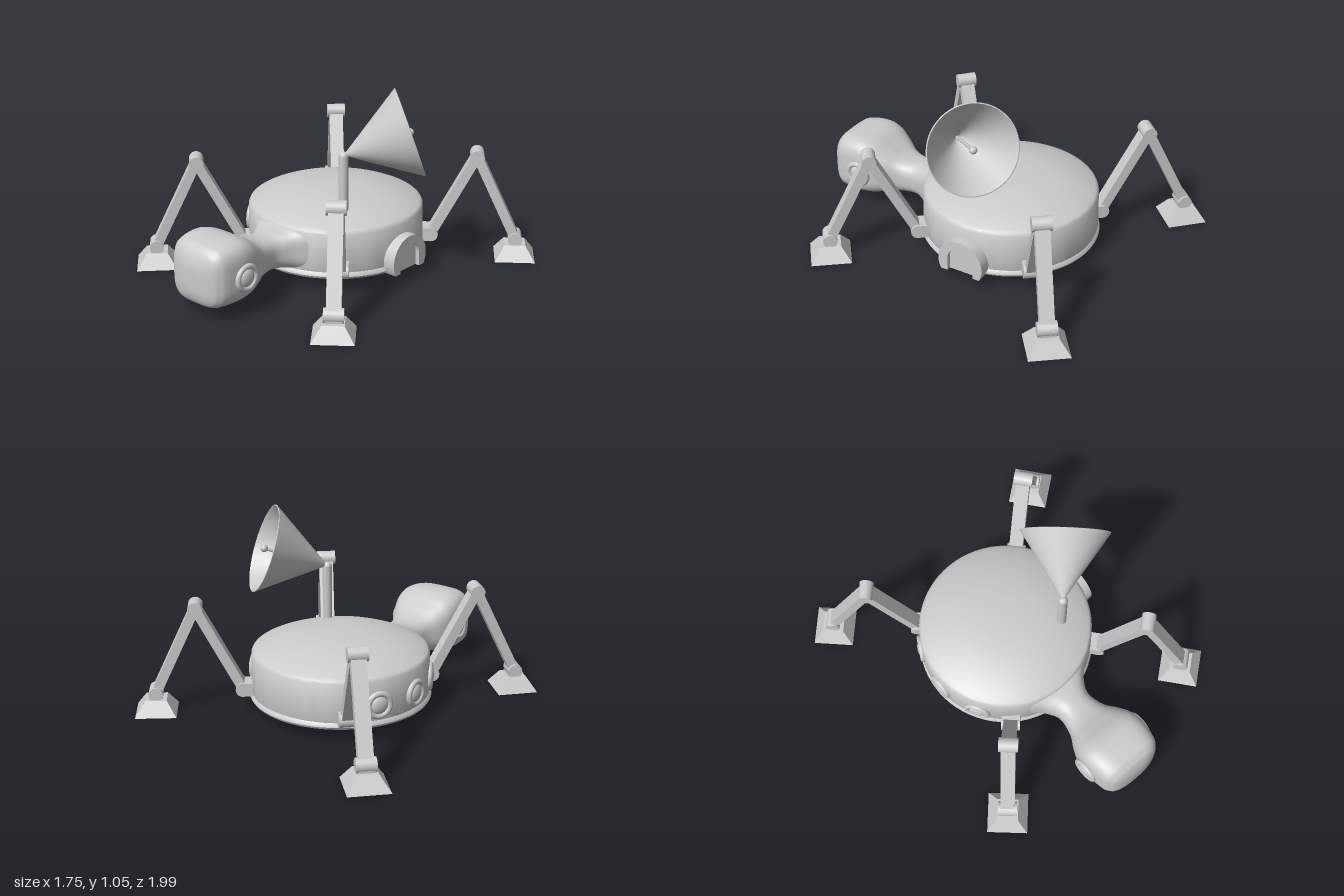
import * as THREE from 'three';
import { toCreasedNormals } from 'three/addons/utils/BufferGeometryUtils.js';

const grey = new THREE.MeshStandardMaterial({ color: 0xcccccc });
const greyDouble = new THREE.MeshStandardMaterial({ color: 0xcccccc, side: THREE.DoubleSide });
const CX = -0.037, CZ = -0.113; // hull centre

function add(parent, name, geometry, x = 0, y = 0, z = 0, material = grey) {
  const mesh = new THREE.Mesh(geometry, material);
  mesh.name = name;
  mesh.position.set(x, y, z);
  parent.add(mesh);
  return mesh;
}

// Round hull with a bottom lip and a shallow domed roof
function hull() {
  const roof = new THREE.SplineCurve([
    [0.483, 0.315], [0.465, 0.337], [0.375, 0.375], [0.26, 0.405], [0.14, 0.421], [0, 0.426],
  ].map(p => new THREE.Vector2(...p))).getPoints(30);
  roof[roof.length - 1].x = 0;
  const wall = [[0, 0.06], [0.47, 0.06], [0.488, 0.065], [0.496, 0.078], [0.492, 0.092], [0.484, 0.1], [0.487, 0.11]]
    .map(p => new THREE.Vector2(...p));
  return toCreasedNormals(new THREE.LatheGeometry([...wall, ...roof], 72), 0.6);
}

// Neck and head: rounded-box sections lofted along z
function neckAndHead() {
  // z, half width, bottom, top, squareness
  const sections = [
    [0.22, 0.3, 0.09, 0.335, 4], [0.33, 0.2, 0.09, 0.33, 3.5], [0.4, 0.135, 0.1, 0.31, 3], [0.48, 0.103, 0.105, 0.296, 2.7],
    [0.56, 0.118, 0.1, 0.305, 2.8], [0.65, 0.165, 0.085, 0.35, 3.2], [0.74, 0.196, 0.07, 0.4, 3.8],
    [0.82, 0.2, 0.064, 0.412, 4], [0.9, 0.189, 0.064, 0.402, 4], [0.945, 0.168, 0.068, 0.382, 3.8],
    [0.972, 0.135, 0.09, 0.35, 3.4], [0.988, 0.08, 0.135, 0.3, 3], [0.992, 0.001, 0.219, 0.221, 2],
  ];
  const sides = new THREE.CatmullRomCurve3(sections.map(s => new THREE.Vector3(s[0], s[1], s[4])));
  const heights = new THREE.CatmullRomCurve3(sections.map(s => new THREE.Vector3(s[0], s[2], s[3])));
  const rings = 60, n = 48, pos = [], index = [];
  const power = (v, e) => Math.sign(v) * Math.abs(v) ** (2 / e);
  for (let i = 0; i <= rings; i++) {
    const s = sides.getPoint(i / rings), h = heights.getPoint(i / rings);
    for (let j = 0; j < n; j++) {
      const a = j / n * Math.PI * 2;
      pos.push(s.y * power(Math.cos(a), s.z), (h.y + h.z) / 2 + (h.z - h.y) / 2 * power(Math.sin(a), s.z), s.x);
      if (i < rings) {
        const p = i * n + j, q = i * n + (j + 1) % n;
        index.push(p, q, p + n, q, q + n, p + n);
      }
    }
  }
  const g = new THREE.BufferGeometry();
  g.setAttribute('position', new THREE.Float32BufferAttribute(pos, 3));
  g.setIndex(index);
  g.computeVertexNormals();
  return g;
}

// Round window facing local +z
function porthole(parent, name, x, y, z, turn) {
  const g = new THREE.Group();
  g.name = name;
  add(g, 'windowCollar', new THREE.CylinderGeometry(0.07, 0.075, 0.04, 32), 0, 0, -0.018).rotation.x = Math.PI / 2;
  add(g, 'windowRing', new THREE.TorusGeometry(0.062, 0.016, 12, 36));
  add(g, 'windowLens', new THREE.SphereGeometry(0.05, 28, 14)).scale.z = 0.45;
  g.position.set(x, y, z);
  g.rotation.y = turn;
  parent.add(g);
}

// Folding leg in its own plane: local +z points outward
function leg(name, [hx, hz], [fx, fz]) {
  const g = new THREE.Group();
  g.name = name;
  const reach = Math.hypot(fx - hx, fz - hz);
  const hip = [0.13, 0], knee = [0.593, reach * 0.52], ankle = [0.11, reach];
  const beam = (part, [y0, z0], [y1, z1]) => {
    const m = add(g, part, new THREE.BoxGeometry(0.078, Math.hypot(y1 - y0, z1 - z0), 0.052), 0, (y0 + y1) / 2, (z0 + z1) / 2);
    m.rotation.x = Math.atan2(z1 - z0, y1 - y0);
  };
  beam('upperLeg', hip, knee);
  beam('lowerLeg', knee, ankle);
  for (const [part, [y, z]] of [['hipJoint', hip], ['kneeJoint', knee], ['ankleJoint', ankle]]) {
    add(g, part, new THREE.CylinderGeometry(0.039, 0.039, 0.105, 28), 0, y, z).rotation.z = Math.PI / 2;
  }
  add(g, 'hipBracket', new THREE.BoxGeometry(0.105, 0.075, 0.06), 0, 0.13, -0.035);
  add(g, 'ankleBlock', new THREE.BoxGeometry(0.085, 0.05, 0.07), 0, 0.09, reach);
  // Square tapered foot
  const pad = new THREE.CylinderGeometry(0.082, 0.157, 0.08, 4).rotateY(Math.PI / 4);
  add(g, 'foot', toCreasedNormals(pad, 0.3), 0, 0.04, reach);
  g.position.set(hx, 0, hz);
  g.rotation.y = Math.atan2(fx - hx, fz - hz);
  return g;
}

// Arched doorway: a disc cut level with the hull floor, with an arch opening
function doorway() {
  const g = new THREE.Group();
  g.name = 'doorway';
  const R = 0.135, drop = -0.065, cut = Math.asin(drop / R);
  const frame = new THREE.Shape();
  frame.absarc(0, 0, R, cut, Math.PI - cut, false);
  frame.lineTo(-0.078, drop);
  frame.lineTo(-0.078, 0.01);
  frame.absarc(0, 0.01, 0.078, Math.PI, 0, true);
  frame.lineTo(0.078, drop);
  frame.closePath();
  add(g, 'doorFrame', toCreasedNormals(
    new THREE.ExtrudeGeometry(frame, { depth: 0.12, bevelEnabled: false, curveSegments: 32 }), 0.6), 0, 0, -0.12);
  const panel = new THREE.Shape();
  panel.moveTo(-0.078, drop);
  panel.lineTo(0.078, drop);
  panel.lineTo(0.078, 0.01);
  panel.absarc(0, 0.01, 0.078, 0, Math.PI, false);
  add(g, 'door', new THREE.ExtrudeGeometry(panel, { depth: 0.08, bevelEnabled: false, curveSegments: 24 }), 0, 0, -0.105);
  g.position.set(0.5, 0.126, CZ);
  g.rotation.y = Math.PI / 2;
  return g;
}

// Mast with a conical dish and a feed rod
function antenna() {
  const g = new THREE.Group();
  g.name = 'antenna';
  add(g, 'mast', new THREE.CylinderGeometry(0.026, 0.026, 0.32, 24), 0.2, 0.535, 0.09);
  add(g, 'mastTip', new THREE.SphereGeometry(0.026, 24, 12), 0.2, 0.695, 0.09);
  const dish = new THREE.Group();
  dish.name = 'dish';
  dish.position.set(0.2, 0.7, 0.09);
  const axis = new THREE.Vector3(0.24, 0.12, -0.255), depth = axis.length();
  dish.quaternion.setFromUnitVectors(new THREE.Vector3(0, 1, 0), axis.normalize());
  const profile = [[0.002, 0], [0.247, depth], [0.241, depth + 0.002], [0.002, 0.012]].map(p => new THREE.Vector2(...p));
  add(dish, 'dishCone', toCreasedNormals(new THREE.LatheGeometry(profile, 56), 0.6), 0, 0, 0, greyDouble);
  add(dish, 'feedRod', new THREE.CylinderGeometry(0.009, 0.009, depth, 12), 0, depth / 2, 0);
  add(dish, 'feedTip', new THREE.SphereGeometry(0.021, 20, 14), 0, depth, 0);
  g.add(dish);
  return g;
}

export function createModel() {
  const model = new THREE.Group();
  model.name = 'walker';
  add(model, 'hull', hull(), CX, 0, CZ);
  add(model, 'neckAndHead', neckAndHead(), CX, 0, 0);

  // Windows on the head and along the right flank
  for (const s of [-1, 1]) porthole(model, s > 0 ? 'leftEye' : 'rightEye', CX + s * 0.2, 0.218, 0.785, s * Math.PI / 2);
  for (const deg of [-120, -90, -60]) {
    const a = THREE.MathUtils.degToRad(deg);
    porthole(model, 'hullWindow', CX + 0.486 * Math.sin(a), 0.185, CZ + 0.486 * Math.cos(a), a);
  }

  model.add(doorway(), antenna());
  model.add(
    leg('frontLeftLeg', [0.328, 0.27], [0.63, 0.645]),
    leg('backLeftLeg', [0.354, -0.476], [0.722, -0.767]),
    leg('backRightLeg', [-0.365, -0.5], [-0.714, -0.846]),
    leg('frontRightLeg', [-0.355, 0.296], [-0.682, 0.648]),
  );
  return model;
}
